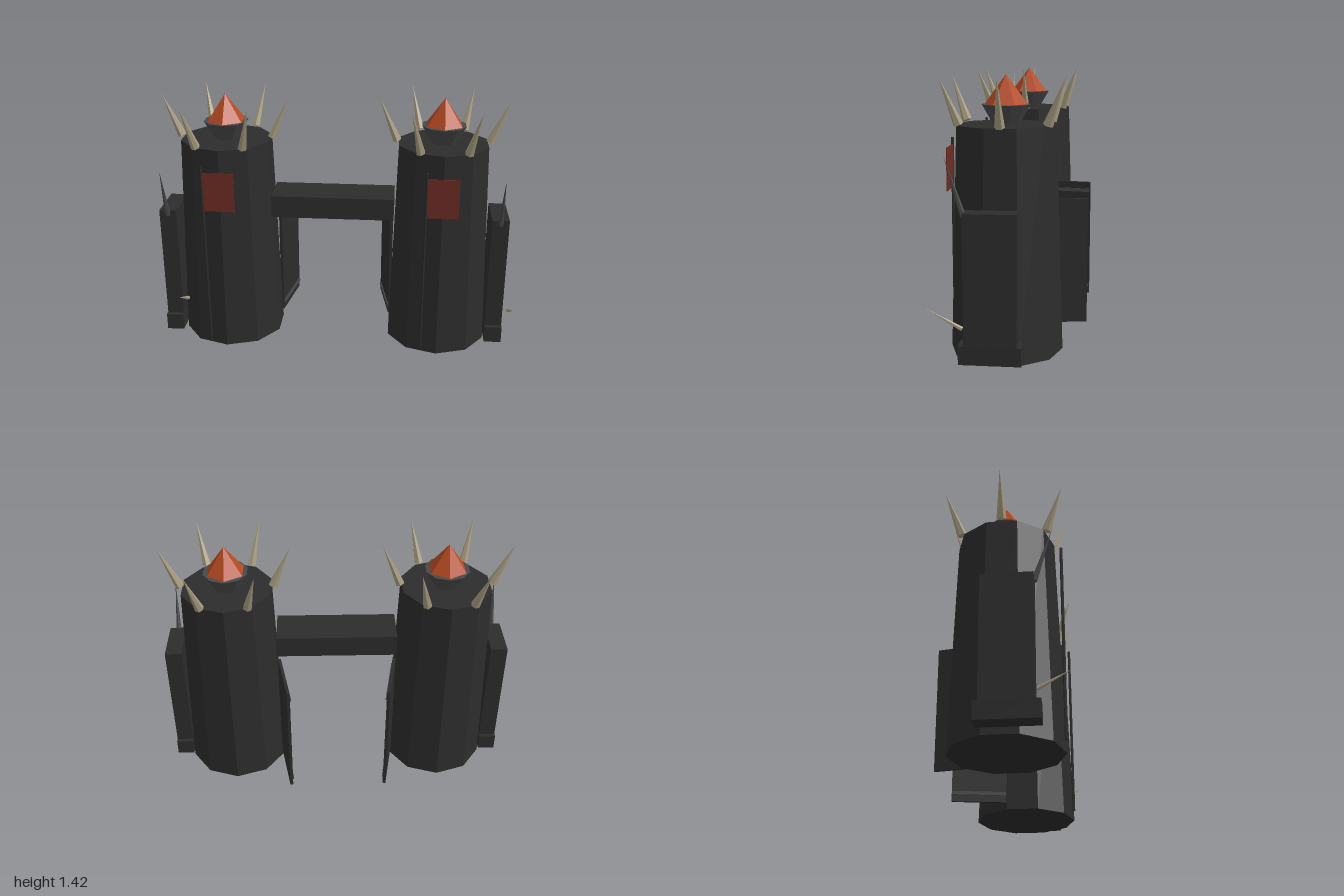
import * as THREE from 'three';

const mat = (name, color) => {
  const m = new THREE.MeshStandardMaterial({ color, flatShading: true });
  m.name = name;
  return m;
};

export function createModel() {
  const stone = mat('darkStone', 0x2c2c2c);
  const iron = mat('iron', 0x48484a);
  const bone = mat('bone', 0xa89c80);
  const fire = mat('fire', 0xb54a22);
  const cloth = mat('redCloth', 0x6e2c24);

  const add = (parent, name, geometry, material, x = 0, y = 0, z = 0) => {
    const mesh = new THREE.Mesh(geometry, material);
    mesh.name = name;
    mesh.position.set(x, y, z);
    parent.add(mesh);
    return mesh;
  };
  const box = (w, h, d) => new THREE.BoxGeometry(w, h, d);

  // Cone running from a base point to a tip
  const spike = (parent, name, from, to, radius, material) => {
    const a = new THREE.Vector3(...from), b = new THREE.Vector3(...to);
    const dir = b.clone().sub(a);
    const mesh = add(parent, name, new THREE.ConeGeometry(radius, dir.length(), 6), material);
    mesh.position.copy(a).lerp(b, 0.5);
    mesh.quaternion.setFromUnitVectors(new THREE.Vector3(0, 1, 0), dir.normalize());
    return mesh;
  };

  const model = new THREE.Group();
  model.name = 'gatehouse';
  const midX = -0.025, towerZ = 0.0325;

  for (const s of [-1, 1]) {
    // Ten-sided tapering tower
    const tower = new THREE.Group();
    tower.name = s < 0 ? 'rightTower' : 'leftTower';
    tower.position.set(midX + s * 0.605, 0, 0);
    model.add(tower);
    add(tower, 'towerBody', new THREE.CylinderGeometry(0.256, 0.293, 1.175, 10), stone, 0, 0.5875, towerZ);

    // Brazier and flame
    add(tower, 'brazier', new THREE.CylinderGeometry(0.125, 0.067, 0.1, 10), iron, 0, 1.225, towerZ);
    add(tower, 'flame', new THREE.ConeGeometry(0.11, 0.15, 6), fire, 0, 1.35, towerZ);

    // Ring of crown spikes leaning outwards
    for (let i = 0; i < 6; i++) {
      const c = Math.cos(i * Math.PI / 3), n = Math.sin(i * Math.PI / 3);
      spike(tower, 'crownSpike', [c * 0.255, 1.182, towerZ + n * 0.255],
        [c * 0.357, 1.42, towerZ + n * 0.357], 0.026, bone);
    }

    // Banner on its pole
    add(tower, 'bannerPole', new THREE.CylinderGeometry(0.008, 0.008, 1.06, 6), stone, -0.09, 0.565, 0.326);
    add(tower, 'banner', box(0.17, 0.22, 0.005), cloth, 0, 0.95, 0.324);

    // Outer buttress with its foot and spikes
    const bx = s * 0.3275;
    add(tower, 'buttress', box(0.095, 0.75, 0.26), stone, bx, 0.41, 0.07);
    add(tower, 'buttressFoot', box(0.097, 0.095, 0.31), stone, bx, 0.0825, 0.0725);
    spike(tower, 'buttressHorn', [bx, 0.76, 0.2], [bx, 1.05, 0.29], 0.016, iron);
    spike(tower, 'lowSpike', [bx + 0.08, 0.23, 0.198], [bx + 0.08, 0.327, 0.375], 0.012, bone);

    // Open gate leaf, with iron bands on its inner face
    const gate = new THREE.Group();
    gate.name = 'gateLeaf';
    gate.position.set(midX + s * 0.33, 0.39, -0.06);
    gate.rotation.y = s * 0.176;
    model.add(gate);
    add(gate, 'gatePanel', box(0.017, 0.7, 0.32), stone, 0, 0, -0.16);
    for (const y of [-0.3, 0.3]) {
      add(gate, 'gateBand', box(0.008, 0.02, 0.31), iron, -s * 0.011, y, -0.16);
    }
  }

  // Lintel between the towers
  add(model, 'lintel', box(0.685, 0.125, 0.23), stone, midX, 0.8175, 0.06);

  return model;
}
